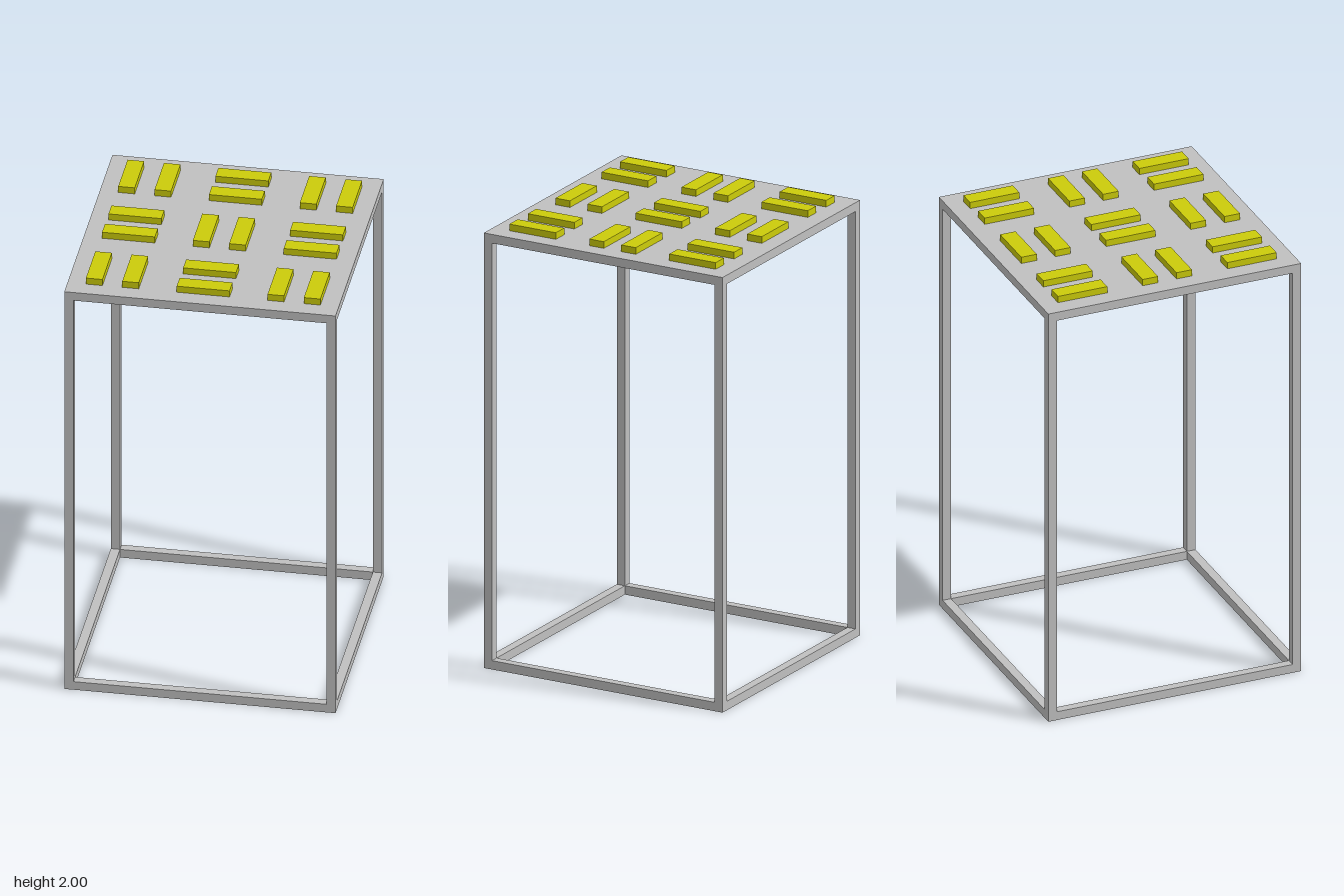
import * as THREE from 'three';

const HALF = 0.59;      // half width of the square frame
const BAR = 0.04;       // thickness of the frame bars
const FRAME_TOP = 1.97; // top of the frame
const BLOCK_H = 0.03;

export function createModel() {
  const model = new THREE.Group();
  const frameGrey = new THREE.MeshStandardMaterial({ name: 'frameGrey', color: 0xc0c0c0 });
  const blockYellow = new THREE.MeshStandardMaterial({ name: 'blockYellow', color: 0xcccc0a });

  const box = (name, material, size, position) => {
    const mesh = new THREE.Mesh(new THREE.BoxGeometry(...size), material);
    mesh.name = name;
    mesh.position.set(...position);
    model.add(mesh);
  };

  const c = HALF - BAR / 2;         // centre line of the bars
  const span = 2 * (HALF - BAR);    // clear opening between bars

  // Four corner posts
  for (const x of [-c, c])
    for (const z of [-c, c])
      box('cornerPost', frameGrey, [BAR, FRAME_TOP, BAR], [x, FRAME_TOP / 2, z]);

  // Square rails at the bottom and top
  for (const [level, y] of [['bottom', BAR / 2], ['top', FRAME_TOP - BAR / 2]])
    for (const s of [-c, c]) {
      box(level + 'RailAcross', frameGrey, [span, BAR, BAR], [0, y, s]);
      box(level + 'RailSide', frameGrey, [BAR, BAR, span], [s, y, 0]);
    }

  // Thin panel set flush into the top rails
  box('topPanel', frameGrey, [span, 0.02, span], [0, FRAME_TOP - 0.01, 0]);

  // 3 x 3 pairs of blocks, alternating in direction
  const pitch = 0.395, offset = 0.079, length = 0.23, width = 0.072;
  const y = FRAME_TOP + BLOCK_H / 2;
  for (let i = -1; i <= 1; i++)
    for (let j = -1; j <= 1; j++)
      for (const d of [-offset, offset]) {
        const alongZ = (i + j) % 2 === 0;
        box('topBlock', blockYellow,
          alongZ ? [width, BLOCK_H, length] : [length, BLOCK_H, width],
          [i * pitch + (alongZ ? d : 0), y, j * pitch + (alongZ ? 0 : d)]);
      }

  return model;
}
